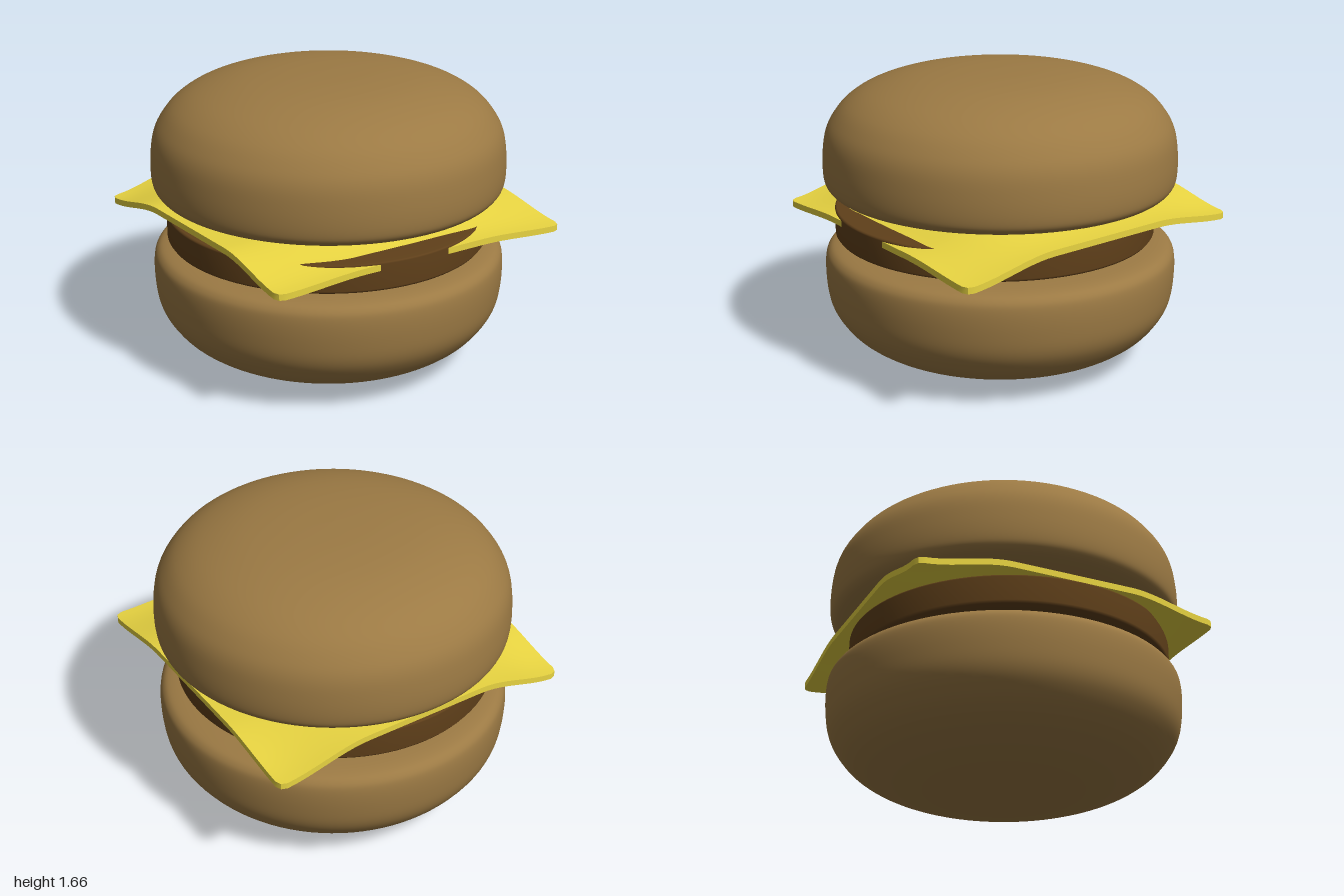
import * as THREE from 'three';

const V = (x, y) => new THREE.Vector2(x, y);
const smooth = THREE.MathUtils.smoothstep;

function part(name, geometry, color) {
  const mesh = new THREE.Mesh(geometry, new THREE.MeshStandardMaterial({ color }));
  mesh.name = name;
  return mesh;
}

// Domed bun half, flat side down, base at y = 0
function bunGeometry() {
  const profile = new THREE.SplineCurve([
    V(0, 0), V(0.5, 0.004), V(0.8, 0.01), V(0.93, 0.023), V(0.982, 0.053), V(1, 0.11),
    V(1, 0.22), V(0.983, 0.34), V(0.94, 0.43), V(0.86, 0.52), V(0.73, 0.595),
    V(0.53, 0.653), V(0.28, 0.682), V(0, 0.69),
  ]);
  const points = profile.getPoints(64);
  points.forEach((p) => { p.x = Math.max(0, p.x); });
  return new THREE.LatheGeometry(points, 96);
}

// Thin slice with rounded corners, sagging by a different amount at each edge and corner
function cheeseGeometry() {
  const radius = 0.05, thickness = 0.035, top = 0.975, flat = 1 - radius;
  const edge = { left: 0.025, right: 0.105, front: 0.048, back: 0.06 };
  const geometry = new THREE.BoxGeometry(2, thickness, 2, 40, 1, 40);
  const pos = geometry.attributes.position;
  for (let i = 0; i < pos.count; i++) {
    let u = pos.getX(i), w = pos.getZ(i);
    // square corner cells become quarter discs
    const a = Math.abs(u) - flat, b = Math.abs(w) - flat;
    if (a > 1e-5 && b > 1e-5) {
      const k = Math.max(a, b) / Math.hypot(a, b);
      u = Math.sign(u) * (flat + a * k);
      w = Math.sign(w) * (flat + b * k);
    }
    const s = smooth(Math.abs(u), 0.4, 1), t = smooth(Math.abs(w), 0.4, 1);
    const side = u > 0 ? edge.right : edge.left;
    const end = w > 0 ? edge.front : edge.back;
    const corner = u < 0 && w < 0 ? 0.115 : 0.138;
    const drop = side * s * (1 - t) + end * t * (1 - s) + corner * s * t;
    // the right edge tapers in towards the front
    const halfWidth = u > 0 ? 0.91 - 0.045 * w - 0.025 * Math.max(0, w) : 0.905;
    pos.setXYZ(i, u * halfWidth, top - thickness / 2 - drop + pos.getY(i), w * 0.912);
  }
  geometry.computeVertexNormals();
  return geometry;
}

export function createModel() {
  const burger = new THREE.Group();
  burger.name = 'burger';

  // Two matching buns, the lower one turned over
  const bun = bunGeometry();
  const topBun = part('topBun', bun, 0x9c7a44);
  topBun.position.y = 0.97;
  const bottomBun = part('bottomBun', bun, 0x9c7a44);
  bottomBun.rotation.x = Math.PI;
  bottomBun.position.y = 0.69;

  // Patty, slightly off centre
  const patty = part('patty', new THREE.LatheGeometry([
    V(0, 0.705), V(0.8, 0.706), V(0.87, 0.711), V(0.9, 0.721), V(0.91, 0.735),
    V(0.91, 0.872), V(0.908, 0.88), V(0.9, 0.884), V(0.8, 0.885), V(0, 0.885),
  ], 96), 0x60401a);
  patty.position.set(0.02, 0, 0.025);

  const cheese = part('cheeseSlice', cheeseGeometry(), 0xe8d441);

  burger.add(bottomBun, patty, cheese, topBun);
  return burger;
}
